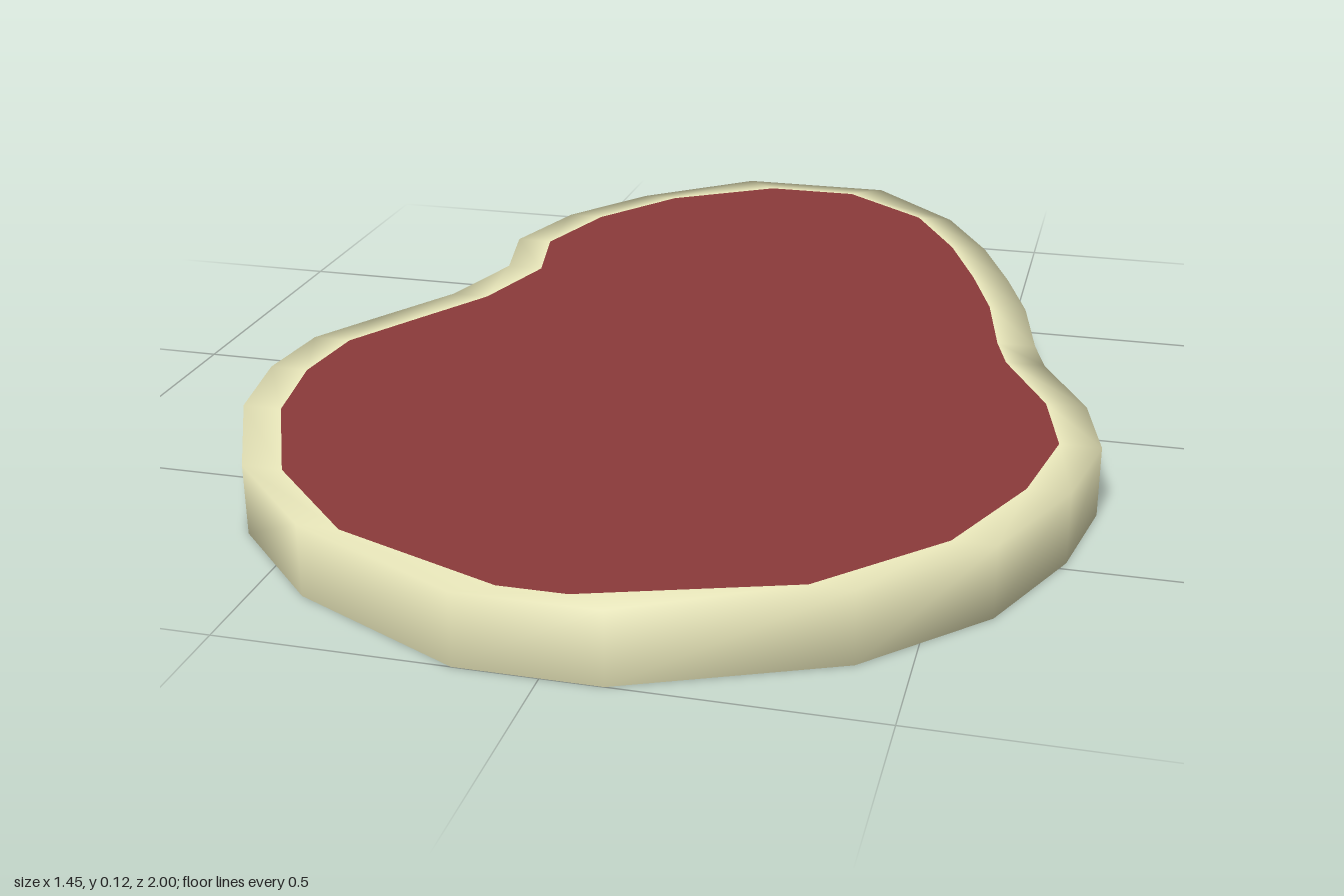
import * as THREE from 'three';

const HEIGHT = 0.12;
const RIM = 0.068;

// outer outline as [x, z], clockwise seen from above, starting at the back
const OUTLINE = [
  [-0.15, -1], [0.15, -1], [0.33, -0.82], [0.425, -0.64], [0.49, -0.465],
  [0.54, -0.305], [0.575, -0.12], [0.6, -0.03], [0.685, 0.14], [0.72, 0.3],
  [0.685, 0.48], [0.595, 0.68], [0.42, 0.86], [0.095, 1], [-0.13, 1],
  [-0.42, 0.86], [-0.59, 0.69], [-0.695, 0.47], [-0.725, 0.3], [-0.71, 0.15],
  [-0.64, 0.03], [-0.545, -0.13], [-0.495, -0.31], [-0.53, -0.475],
  [-0.475, -0.66], [-0.355, -0.83],
];

// inner outline: drawn in sideways, and trimmed at both ends
const INNER = OUTLINE.map(([x, z]) => [
  x - Math.sign(x) * RIM * (Math.abs(x) < 0.2 ? 0.87 : 1),
  THREE.MathUtils.clamp(z, -0.955, 0.967),
]);

// smooth band: top face, outer wall and bottom face share their normals
function rimGeometry() {
  const n = OUTLINE.length;
  const positions = [];
  const index = [];
  OUTLINE.forEach(([ox, oz], i) => {
    const [ix, iz] = INNER[i];
    positions.push(ix, HEIGHT, iz, ox, HEIGHT, oz, ox, 0, oz, ix, 0, iz);
    const a = i * 4;
    const b = ((i + 1) % n) * 4;
    for (let k = 0; k < 3; k++) {
      index.push(a + k, b + k, b + k + 1, a + k, b + k + 1, a + k + 1);
    }
  });
  const geometry = new THREE.BufferGeometry();
  geometry.setAttribute('position', new THREE.Float32BufferAttribute(positions, 3));
  geometry.setIndex(index);
  geometry.computeVertexNormals();
  return geometry;
}

// flat slab filling the rim
function meatGeometry() {
  const shape = new THREE.Shape(INNER.map(([x, z]) => new THREE.Vector2(x, -z)));
  return new THREE.ExtrudeGeometry(shape, { depth: HEIGHT, bevelEnabled: false })
    .rotateX(-Math.PI / 2);
}

export function createModel() {
  const group = new THREE.Group();
  group.name = 'steak';
  const add = (name, geometry, color) => {
    const mesh = new THREE.Mesh(geometry, new THREE.MeshStandardMaterial({ color }));
    mesh.name = name;
    group.add(mesh);
  };
  add('fatRim', rimGeometry(), 0xf0eec0);
  add('meat', meatGeometry(), 0x8b3a3a);
  return group;
}
